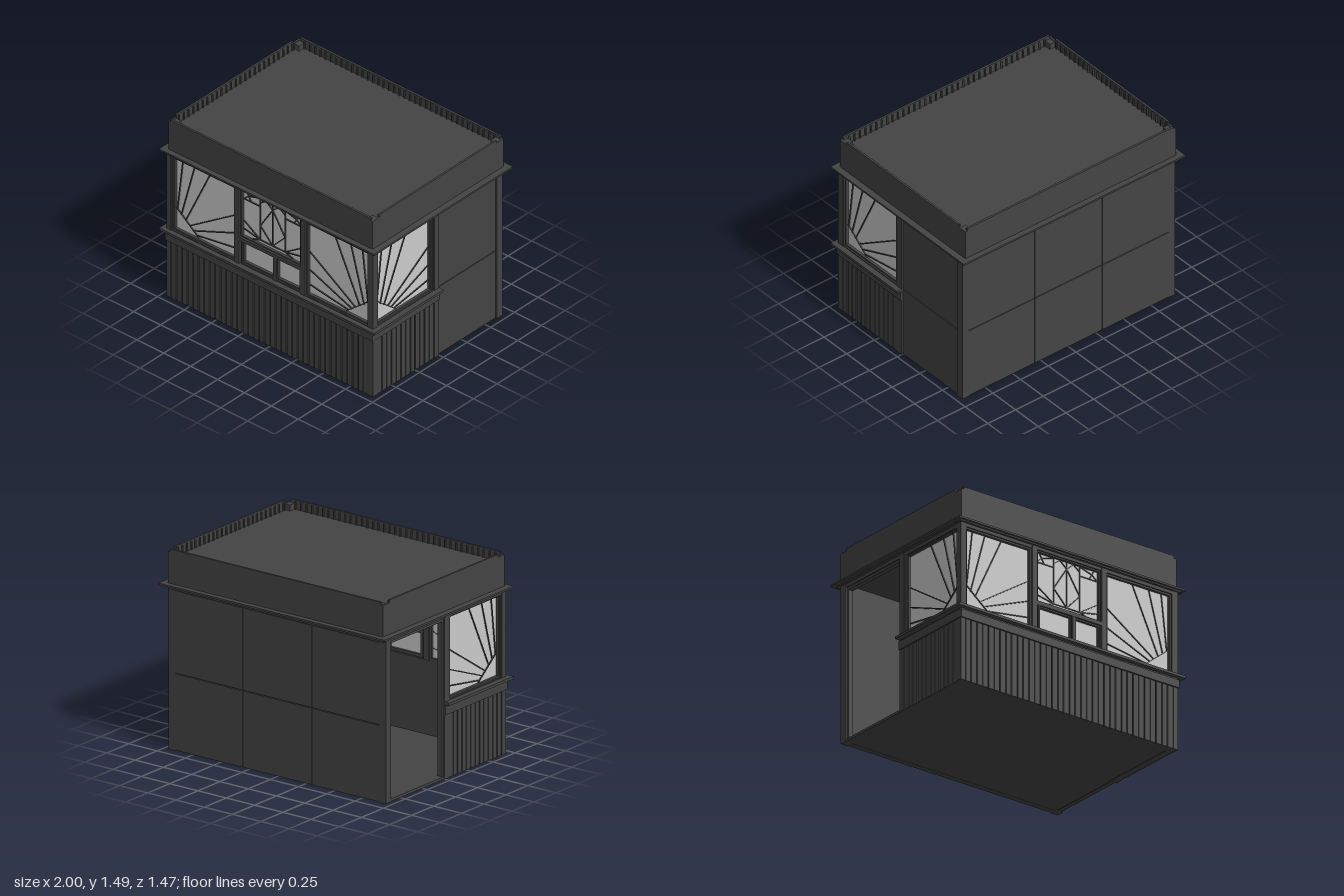
import * as THREE from 'three';

const dark = new THREE.MeshStandardMaterial({ color: 0x444444 });
const glassMat = new THREE.MeshStandardMaterial({ color: 0xcccccc });

// Box given by its limits on each axis
function box(parent, name, x0, x1, y0, y1, z0, z1, mat = dark) {
  const m = new THREE.Mesh(new THREE.BoxGeometry(Math.abs(x1 - x0), y1 - y0, z1 - z0), mat);
  m.position.set((x0 + x1) / 2, (y0 + y1) / 2, (z0 + z1) / 2);
  m.name = name;
  parent.add(m);
  return m;
}

// Thin glazing strip between two points of a window
function lead(parent, x0, y0, x1, y1) {
  const len = Math.hypot(x1 - x0, y1 - y0);
  const m = new THREE.Mesh(new THREE.BoxGeometry(len, 0.008, 0.014), dark);
  m.position.set((x0 + x1) / 2, (y0 + y1) / 2, -0.036);
  m.rotation.z = Math.atan2(y1 - y0, x1 - x0);
  m.name = 'glazingBar';
  parent.add(m);
}

// Framed pane in the local xy plane, outside facing +z
function pane(parent, x0, x1, y0, y1, w = 0.018) {
  box(parent, 'glass', x0, x1, y0, y1, -0.042, -0.036, glassMat);
  for (const [k, z] of [[1, -0.015], [2, -0.004]]) {
    const a = (k - 1) * w, b = k * w;
    box(parent, 'frameSide', x0 - b, x0 - a, y0 - b, y1 + b, -0.06, z);
    box(parent, 'frameSide', x1 + a, x1 + b, y0 - b, y1 + b, -0.06, z);
    box(parent, 'frameRail', x0 - a, x1 + a, y0 - b, y0 - a, -0.06, z);
    box(parent, 'frameRail', x0 - a, x1 + a, y1 + a, y1 + b, -0.06, z);
  }
}

// Sunburst window: rays spread from the lower corner at x0 towards dir
function sunburst(parent, x0, dir) {
  const g = new THREE.Group();
  g.name = 'sunburstWindow';
  const xe = x0 + dir * 0.55;
  pane(g, Math.min(x0, xe), Math.max(x0, xe), 0.59, 1.175, 0.013);
  const rays = [
    [0, 0.76, 0.21, 0.59],
    [0.01, 0.75, 0.06, 1.175], [0.045, 0.715, 0.17, 1.175], [0.085, 0.685, 0.315, 1.175],
    [0.125, 0.657, 0.55, 0.937], [0.16, 0.63, 0.55, 0.785], [0.19, 0.605, 0.55, 0.66],
  ];
  for (const [a, b, c, d] of rays) lead(g, x0 + dir * a, b, x0 + dir * c, d);
  parent.add(g);
}

// Row of vertical boards with open grooves over a backing wall
function boards(parent, x0, x1, n) {
  box(parent, 'boardBacking', x0, x1, 0, 0.475, -0.06, -0.012);
  const p = (x1 - x0) / n;
  for (let i = 0; i < n; i++)
    box(parent, 'board', x0 + i * p + 0.004, x0 + (i + 1) * p - 0.004, 0, 0.475, -0.02, -0.003);
}

// Middle front window: leaded upper light over two serving hatches
function middleWindow(parent) {
  const g = new THREE.Group();
  g.name = 'middleWindow';
  pane(g, -0.27, 0.27, 0.805, 1.18, 0.012);
  for (const s of [-1, 1]) {
    const lines = [
      [0.115, 0.83, 0.115, 1.18], [0.115, 1.11, 0.27, 1.11], [0, 0.83, 0.115, 0.95],
      [0.115, 0.95, 0, 1.13], [0, 1.13, 0.06, 1.18], [0.115, 1.14, 0.06, 1.18],
      [0.115, 1.18, 0.22, 1.15], [0.22, 1.15, 0.27, 1.11], [0.2, 1.11, 0.24, 1.18],
      [0.115, 0.83, 0.27, 0.93], [0.115, 0.83, 0.27, 0.86], [0.115, 0.83, 0.19, 0.805],
    ];
    for (const [a, b, c, d] of lines) lead(g, s * a, b, s * c, d);
  }
  lead(g, 0, 0.83, 0, 1.18);
  lead(g, -0.115, 0.83, 0.115, 0.83);
  pane(g, -0.25, 0.02, 0.598, 0.755, 0.011);
  pane(g, 0.065, 0.265, 0.598, 0.755, 0.011);
  box(g, 'transom', -0.29, 0.29, 0.765, 0.795, -0.06, 0);
  box(g, 'hatchPost', 0.025, 0.06, 0.57, 0.78, -0.06, -0.005);
  parent.add(g);
}

// Side wall in local space: front corner at x = -0.7 * d, back corner at 0.67 * d
function sideWall(d, hasDoor) {
  const g = new THREE.Group();
  g.name = hasDoor ? 'doorSide' : 'panelSide';
  const span = (name, a, b, y0, y1, z0, z1) =>
    box(g, name, Math.min(a * d, b * d), Math.max(a * d, b * d), y0, y1, z0, z1);
  const lo = Math.min(-0.65 * d, -0.05 * d);
  boards(g, lo, lo + 0.6, 12);
  span('middlePost', -0.05, 0, 0, 1.22, -0.06, 0);
  span('backPost', 0.61, 0.67, 0, 1.22, -0.06, 0);
  span('sillBand', -0.69, 0, 0.475, 0.54, -0.06, 0.008);
  span('windowLedge', -0.7, 0, 0.55, 0.57, -0.06, 0.04);
  span('ledgeNeck', -0.69, 0, 0.535, 0.555, -0.06, -0.004);
  span('lintel', -0.69, 0.64, 1.185, 1.22, -0.06, -0.004);
  sunburst(g, -0.63 * d, d);
  if (hasDoor) {
    // Open doorway with a slim surround
    span('doorJamb', 0, 0.015, 0, 1.185, -0.05, -0.012);
    span('doorJamb', 0.595, 0.61, 0, 1.185, -0.05, -0.012);
    span('doorHead', 0, 0.61, 1.165, 1.185, -0.05, -0.012);
    span('threshold', 0, 0.61, 0, 0.02, -0.06, -0.005);
  } else {
    span('panelBacking', 0, 0.61, 0, 1.19, -0.05, -0.02);
    span('lowerPanel', 0.004, 0.606, 0.004, 0.566, -0.03, -0.01);
    span('upperPanel', 0.004, 0.606, 0.572, 1.18, -0.03, -0.01);
  }
  return g;
}

export function createModel() {
  const model = new THREE.Group();
  model.name = 'kiosk';

  // Floor
  box(model, 'floor', -0.94, 0.94, 0.003, 0.02, -0.65, 0.68);

  // Front wall
  const front = new THREE.Group();
  front.name = 'frontWall';
  front.position.z = 0.7;
  boards(front, -0.92, 0.92, 36);
  box(front, 'sillBand', -0.965, 0.965, 0.475, 0.535, -0.06, 0.01);
  box(front, 'ledgeNeck', -0.95, 0.95, 0.53, 0.555, -0.06, -0.004);
  box(front, 'windowLedge', -1, 1, 0.55, 0.57, -0.06, 0.033);
  box(front, 'lintel', -0.95, 0.95, 1.19, 1.22, -0.06, -0.004);
  for (const s of [-1, 1]) {
    sunburst(front, s * 0.895, -s);
    box(front, 'mullion', s * 0.285, s * 0.33, 0.57, 1.22, -0.07, 0);
  }
  middleWindow(front);
  model.add(front);

  // Side walls and front corner posts
  const left = sideWall(1, false);
  left.position.x = 0.96;
  left.rotation.y = Math.PI / 2;
  const right = sideWall(-1, true);
  right.position.x = -0.96;
  right.rotation.y = -Math.PI / 2;
  model.add(left, right);
  for (const s of [-1, 1]) {
    box(model, 'cornerPost', s * 0.92, s * 0.96, 0, 1.22, 0.65, 0.7);
  }

  // Back wall: three columns of panels in two rows
  const back = new THREE.Group();
  back.name = 'backWall';
  box(back, 'backBacking', -0.93, 0.93, 0, 1.22, -0.658, -0.62);
  for (let i = 0; i < 3; i++) {
    const x = -0.915 + i * 0.61;
    box(back, 'backPanel', x + 0.003, x + 0.607, 0.003, 0.567, -0.668, -0.65);
    box(back, 'backPanel', x + 0.003, x + 0.607, 0.573, 1.18, -0.668, -0.65);
  }
  box(back, 'backRail', -0.95, 0.95, 1.19, 1.22, -0.685, -0.65);
  model.add(back);

  // Cornice slab, roof deck and parapet with inner ribs
  box(model, 'cornice', -1, 1, 1.222, 1.236, -0.735, 0.733);
  box(model, 'corniceUnderside', -0.975, 0.975, 1.212, 1.223, -0.705, 0.715);
  const roof = new THREE.Group();
  roof.name = 'roof';
  box(roof, 'roofDeck', -0.94, 0.94, 1.39, 1.42, -0.68, 0.68);
  for (const s of [-1, 1]) {
    const zo = s * 0.692, zi = s * 0.676;
    box(roof, 'parapetEnd', -0.95, 0.95, 1.236, 1.47, Math.min(zo, zi), Math.max(zo, zi));
    box(roof, 'parapetEndCap', -0.93, 0.93, 1.47, 1.49, Math.min(zo, zi), Math.max(zo, zi));
    box(roof, 'parapetSide', s * 0.935, s * 0.95, 1.236, 1.47, -0.69, 0.69);
    box(roof, 'parapetSideCap', s * 0.935, s * 0.95, 1.47, 1.49, -0.615, 0.62);
    for (let i = 0; i <= 36; i++) {
      const x = -0.882 + i * 0.049;
      box(roof, 'parapetRib', x - 0.005, x + 0.005, 1.42, 1.48, s * 0.672 - 0.006, s * 0.672 + 0.006);
    }
    for (let i = 0; i <= 24; i++) {
      const z = -0.6 + i * 0.05;
      box(roof, 'parapetRib', s * 0.925, s * 0.937, 1.42, 1.48, z - 0.005, z + 0.005);
    }
    for (const t of [-1, 1]) {
      const z = t * 0.65;
      box(roof, 'parapetCorner', s * 0.89, s * 0.937, 1.42, 1.465, z - 0.028, z + 0.028);
    }
  }
  model.add(roof);
  return model;
}
